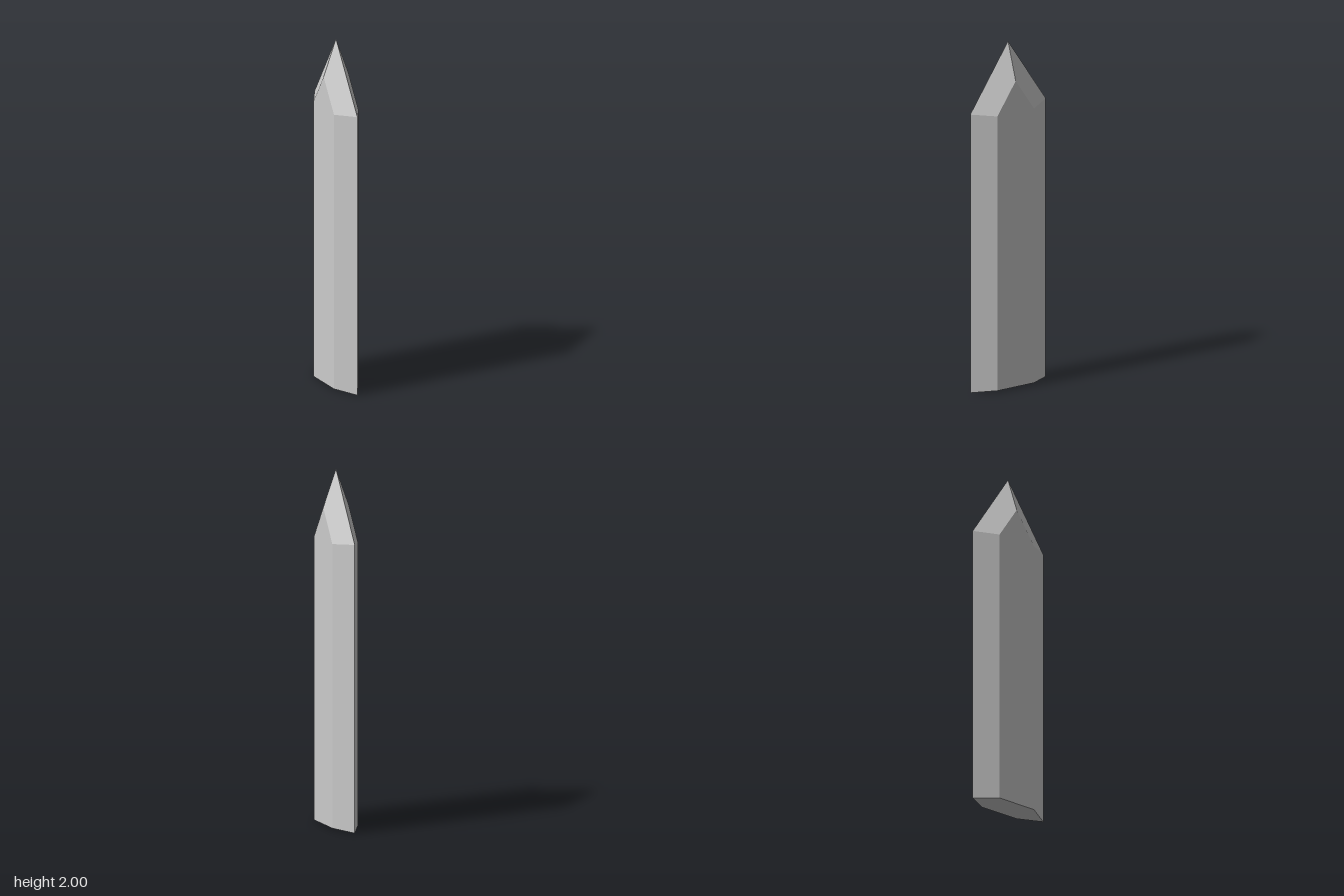
import * as THREE from 'three';

// Half outline of the shaft, front to back: x, z, bottom y, shoulder y
const HALF = [
  [0, 0.248, 0, 1.62],
  [0.077, 0.12, 0.01, 1.607],
  [0.077, 0, 0.01, 1.79],
  [0.077, -0.12, 0.01, 1.607],
];

export function createModel() {
  const group = new THREE.Group();
  const material = new THREE.MeshStandardMaterial({ color: 0xcccccc, flatShading: true });

  // The second half is the first turned half way round
  const ring = [...HALF, ...HALF.map(([x, z, b, t]) => [-x, -z, b, t])];
  const bottom = ring.map(([x, z, b]) => [x, b, z]);
  const shoulder = ring.map(([x, z, , t]) => [x, t, z]);

  const addPart = (name, faces) => {
    const geometry = new THREE.BufferGeometry();
    geometry.setAttribute('position', new THREE.Float32BufferAttribute(faces.flat(2), 3));
    geometry.computeVertexNormals();
    const mesh = new THREE.Mesh(geometry, material);
    mesh.name = name;
    group.add(mesh);
  };

  const shaft = [], tip = [], base = [];
  ring.forEach((_, i) => {
    const j = (i + 1) % ring.length;
    shaft.push([bottom[i], bottom[j], shoulder[j]], [bottom[i], shoulder[j], shoulder[i]]);
    tip.push([shoulder[i], shoulder[j], [0, 2, 0]]);
    base.push([[0, 0.01, 0], bottom[j], bottom[i]]);
  });

  addPart('shaft', shaft); // six-sided upright body
  addPart('pointedTip', tip); // four sloping facets meeting at the apex
  addPart('base', base); // underside

  return group;
}
